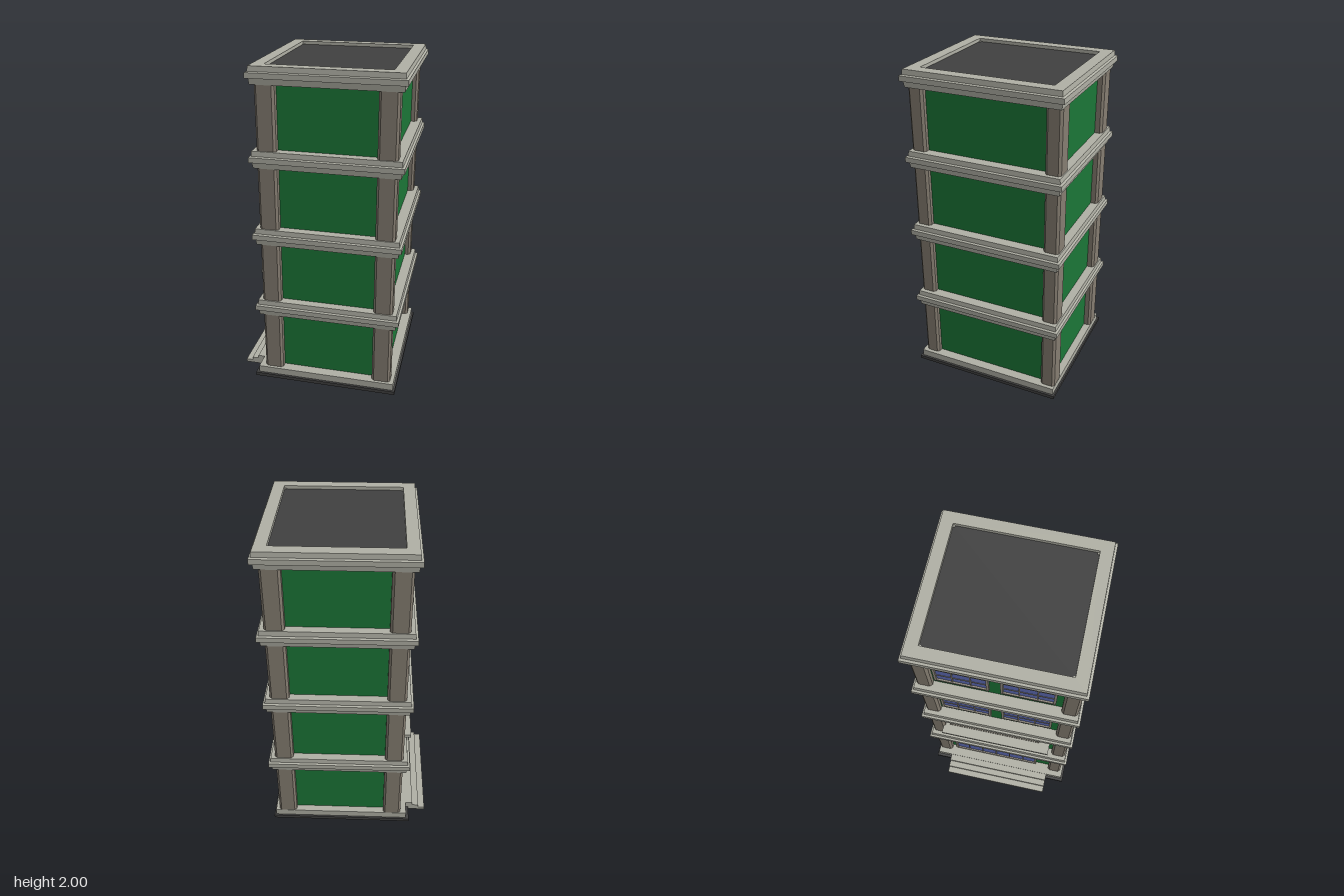
import * as THREE from 'three';

const mat = (name, color) => {
  const m = new THREE.MeshStandardMaterial({ color });
  m.name = name;
  return m;
};

const CX = 0.062, CZ = -0.006; // plan centre of the tower

export function createModel() {
  const stone = mat('stone', 0xb0b0a5);
  const brown = mat('brownStone', 0x857d71);
  const frame = mat('windowFrame', 0x969084);
  const green = mat('greenWall', 0x1b7637);
  const dark = mat('darkGrey', 0x404040);
  const glass = mat('blueGlass', 0x606eb8);
  const root = new THREE.Group();
  root.name = 'tower';

  const add = (parent, name, geo, material) => {
    const m = new THREE.Mesh(geo, material);
    m.name = name;
    parent.add(m);
    return m;
  };
  // box given by its limits
  const box = (parent, name, material, x0, x1, y0, y1, z0, z1) => {
    const m = add(parent, name, new THREE.BoxGeometry(x1 - x0, y1 - y0, z1 - z0), material);
    m.position.set((x0 + x1) / 2, (y0 + y1) / 2, (z0 + z1) / 2);
  };
  // closed profile of [outset, y] points swept around a rectangle
  const rectSweep = (profile, hx, hz) => {
    const corner = [[1, 1], [1, -1], [-1, -1], [-1, 1]];
    const pos = [];
    const point = ([o, y], [sx, sz]) => [CX + sx * (hx + o), y, CZ + sz * (hz + o)];
    for (let s = 0; s < 4; s++) {
      const c0 = corner[s], c1 = corner[(s + 1) % 4];
      profile.forEach((p, i) => {
        const q = profile[(i + 1) % profile.length];
        const a = point(p, c0), b = point(p, c1), c = point(q, c1), d = point(q, c0);
        pos.push(...a, ...b, ...c, ...a, ...c, ...d);
      });
    }
    const g = new THREE.BufferGeometry();
    g.setAttribute('position', new THREE.Float32BufferAttribute(pos, 3));
    g.computeVertexNormals();
    return g;
  };

  // base: dark footing frame, stone plinth, steps
  const base = new THREE.Group();
  base.name = 'base';
  root.add(base);
  box(base, 'footingFront', dark, -0.4, 0.503, 0, 0.022, 0.463, 0.487);
  box(base, 'footingBack', dark, -0.4, 0.503, 0, 0.022, -0.48, -0.456);
  box(base, 'footingLeft', dark, 0.479, 0.503, 0, 0.022, -0.456, 0.463);
  box(base, 'footingRight', dark, -0.4, -0.376, 0, 0.022, -0.456, 0.463);
  box(base, 'plinth', stone, -0.381, 0.49, 0.022, 0.065, -0.468, 0.473);
  box(base, 'underside', stone, -0.376, 0.479, 0.004, 0.022, -0.456, 0.463);
  [-0.51, -0.468, -0.426].forEach((x, i) =>
    box(base, 'step' + (i + 1), stone, x, -0.38, i * 0.02, (i + 1) * 0.02, -0.37, 0.36));

  // green wall core
  box(root, 'walls', green, -0.305, 0.43, 0.06, 1.92, -0.422, 0.408);

  // chamfered corner columns, each with a small post at the roof corner
  const columnShape = (w, d, c) => {
    const x = w / 2, z = d / 2;
    return new THREE.Shape([
      [x - c, -z], [x, c - z], [x, z - c], [x - c, z],
      [c - x, z], [-x, z - c], [-x, c - z], [c - x, -z],
    ].map(([a, b]) => new THREE.Vector2(a, b)));
  };
  const columnGeo = new THREE.ExtrudeGeometry(columnShape(0.116, 0.093, 0.014), { depth: 1.85, bevelEnabled: false });
  columnGeo.rotateX(-Math.PI / 2);
  const postGeo = new THREE.BoxGeometry(0.012, 0.06, 0.012);
  for (const sx of [-1, 1]) for (const sz of [-1, 1]) {
    const side = (sz > 0 ? 'front' : 'back') + (sx > 0 ? 'Left' : 'Right');
    add(root, side + 'Column', columnGeo, brown)
      .position.set(CX + sx * 0.347, 0.06, CZ + sz * 0.414);
    add(root, side + 'RoofPost', postGeo, stone)
      .position.set(CX + sx * 0.354, 1.954, CZ + sz * 0.393);
  }

  // moulded floor bands and the parapet
  [0.448, 0.932, 1.415, 1.897].forEach((y, i) => {
    const top = i === 3;
    const inner = top ? -0.071 : -0.15;
    const profile = [
      [inner, 0], [-0.004, 0], [0, 0.034], [0.016, 0.037],
      [0.016, 0.068], [0.003, 0.073], [0, 0.103], [inner, 0.103],
    ].map(([o, h]) => [o, y + h]);
    add(root, top ? 'parapet' : 'floorBand' + (i + 1), rectSweep(profile, 0.431, 0.468), stone);
  });
  box(root, 'roof', dark, -0.3, 0.424, 1.92, 1.98, -0.405, 0.393);

  // framed glazing on the entrance side
  const X = -0.305;
  const windowUnit = (name, z0, z1, y0, y1, cols, rows) => {
    const g = new THREE.Group();
    g.name = name;
    root.add(g);
    const f = 0.015, t = 0.004;
    box(g, 'glass', glass, X - 0.006, X, y0, y1, z0, z1);
    box(g, 'frameTop', frame, X - 0.016, X, y1 - f, y1, z0, z1);
    box(g, 'frameBottom', frame, X - 0.016, X, y0, y0 + f, z0, z1);
    box(g, 'frameBack', frame, X - 0.016, X, y0 + f, y1 - f, z0, z0 + f);
    box(g, 'frameFront', frame, X - 0.016, X, y0 + f, y1 - f, z1 - f, z1);
    for (let i = 1; i < cols; i++) {
      const z = z0 + (z1 - z0) * i / cols;
      box(g, 'mullion', frame, X - 0.01, X, y0 + f, y1 - f, z - t, z + t);
    }
    for (let j = 1; j < rows; j++) {
      const y = y0 + (y1 - y0) * j / rows;
      box(g, 'glazingBar', frame, X - 0.009, X, y - t, y + t, z0 + f, z1 - f);
    }
  };
  for (const [floor, y] of [['third', 1.093], ['fourth', 1.577]]) {
    windowUnit(floor + 'FloorWindowBack', -0.36, -0.05, y, y + 0.288, 3, 4);
    windowUnit(floor + 'FloorWindowFront', 0.015, 0.325, y, y + 0.288, 3, 4);
  }
  windowUnit('secondFloorWindow', -0.345, 0.268, 0.69, 0.915, 6, 1);
  windowUnit('entranceGlazing', -0.345, 0.268, 0.065, 0.385, 6, 1);
  box(root, 'ledge', stone, -0.386, X, 0.677, 0.697, -0.385, 0.338);

  return root;
}
